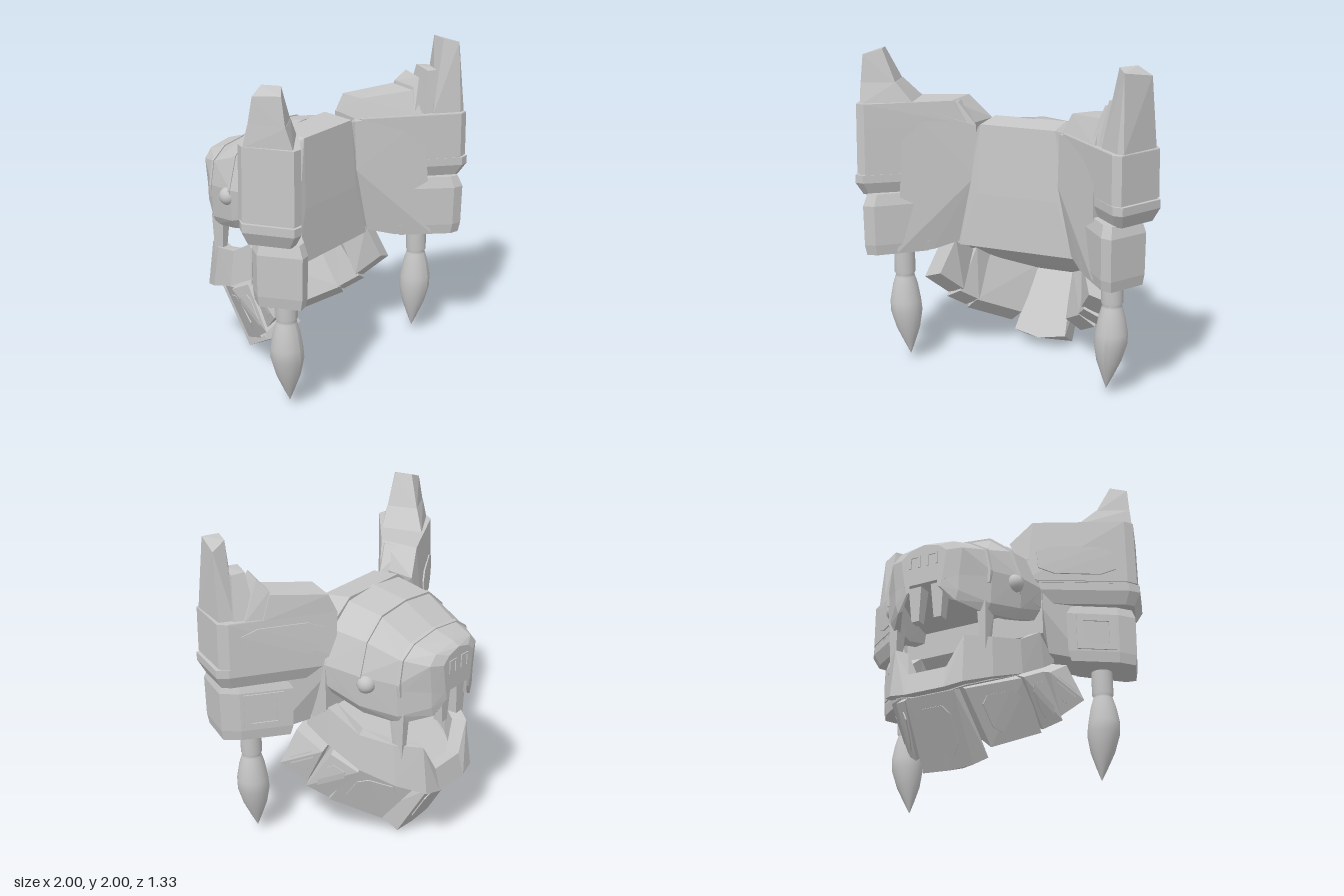
import * as THREE from 'three';
import { mergeGeometries } from 'three/addons/utils/BufferGeometryUtils.js';
import { ConvexGeometry } from 'three/addons/geometries/ConvexGeometry.js';

const grey = new THREE.MeshStandardMaterial({ color: 0xc6c6c6 });
grey.name = 'plain grey';

const V = p => new THREE.Vector3(...p);
const hull = pts => new ConvexGeometry(pts.map(V));
// Chain of faceted segments through successive sections
const loft = rings => mergeGeometries(rings.slice(1).map((r, i) => hull([...rings[i], ...r])));
// Plan outline [x, z] at one height, shrunk by k
const level = (plan, y, k = 1) => {
  const cx = plan.reduce((a, p) => a + p[0], 0) / plan.length;
  const cz = plan.reduce((a, p) => a + p[1], 0) / plan.length;
  return plan.map(([x, z]) => [cx + (x - cx) * k, y, cz + (z - cz) * k]);
};
// Thin raised panel on a four-cornered face, lifted away from a point inside
const panel = (quad, inside, k = 0.66) => {
  const q = quad.map(V);
  const c = q.reduce((a, p) => a.add(p), new THREE.Vector3()).multiplyScalar(0.25);
  const n = q[2].clone().sub(q[0]).cross(q[3].clone().sub(q[1])).normalize();
  if (n.dot(c.clone().sub(V(inside))) < 0) n.negate();
  const inner = q.map(p => p.sub(c).multiplyScalar(k).add(c));
  // cut corners
  const cut = inner.flatMap((p, i) => [p.clone().lerp(inner[(i + 1) % 4], 0.2), p.clone().lerp(inner[(i + 1) % 4], 0.8)]);
  return new ConvexGeometry([...cut, ...cut.map(p => p.clone().addScaledVector(n, 0.009))]);
};

export function createModel() {
  const root = new THREE.Group();
  const add = (name, geo, parent = root) => {
    const m = new THREE.Mesh(geo, grey);
    m.name = name;
    parent.add(m);
    return m;
  };
  const both = list => list.flatMap(([x, y, z]) => [[x, y, z], [-x, y, z]]);

  // Back of the skull, widening downward
  add('skullBack', loft([
    both([[0.25, 1.535, 0.165], [0.27, 1.1, 0.19], [0.38, 0.76, 0.2]]),
    both([[0.24, 1.56, -0.03], [0.38, 1.46, -0.03], [0.48, 1.2, -0.03], [0.48, 0.9, -0.03], [0.47, 0.77, 0.13]]),
  ]));

  // Brow and muzzle: z, top, top half width, half width, middle height, bottom
  const stations = [
    [-0.02, 1.56, 0.25, 0.48, 1.2, 1.0],
    [-0.25, 1.52, 0.24, 0.45, 1.18, 0.92],
    [-0.47, 1.39, 0.22, 0.36, 1.15, 0.88],
    [-0.62, 1.345, 0.18, 0.22, 1.13, 0.93],
    [-0.66, 1.32, 0.1, 0.13, 1.13, 1.02],
  ];
  const ring = ([z, t, tw, w, m], k = 0) => both([
    [0, t + 0.005 + k, z], [tw + k, t - 0.02 + k, z], [(w + tw) / 2 + 0.04 + k, (t + m) / 2 + 0.03 + k, z],
    [w + k, m, z], [w * 0.98, 1.07, z]]);
  add('muzzle', loft(stations.map(s => ring(s))));
  for (const i of [1, 2]) {
    const s = stations[i];
    add('browBand', hull([...ring(s, 0.006), ...ring([s[0] - 0.02, ...s.slice(1)], 0.001)]));
  }

  // Lower jaw band, dipping at the front: half width, z, top, bottom
  const half = [
    [0.48, 0.12, 0.98, 0.76], [0.48, -0.03, 0.91, 0.67], [0.45, -0.25, 0.78, 0.55],
    [0.36, -0.45, 0.735, 0.47], [0.24, -0.59, 0.715, 0.41], [0.13, -0.61, 0.53, 0.39],
  ];
  const jaw = [...half, ...half.slice().reverse().map(([x, ...r]) => [-x, ...r])];
  add('lowerJaw', loft(jaw.map(([x, z, t, b]) => [
    [x * 0.96, t, z * 0.98], [x, b, z * 1.04], [x * 0.78, b + 0.02, z * 0.85], [x * 0.78, t, z * 0.85]])));
  add('jawFloor', hull(jaw.flatMap(([x, z, , b]) => [[x * 0.9, b + 0.01, z * 0.9], [x * 0.9, b + 0.06, z * 0.9]])));

  // Beard plates: corners are top rear, top front, bottom front, bottom rear
  const plate = (outer, off) => {
    const inner = outer.map(p => p.map((v, i) => v + off[i]));
    const mid = outer[0].map((v, j) => (v + inner[2][j]) / 2);
    add('beardPlate', hull([...outer, ...inner]));
    add('beardPanel', panel(outer, mid));
  };
  const chin = [[-0.16, 0.39, -0.57], [0.16, 0.39, -0.57], [0.165, 0.01, -0.34], [-0.165, 0.01, -0.34]];
  add('chinPlate', hull([...chin, [0, 0.0, -0.34],
    ...both([[0.13, 0.46, -0.43], [0.18, 0.1, -0.18]]), [0, 0.07, -0.16]]));
  add('chinPanel', panel(chin, [0, 0.25, -0.3]));

  for (const s of [1, -1]) {
    const f = pts => pts.map(([x, y, z]) => [x * s, y, z]);
    plate(f([[0.44, 0.54, -0.22], [0.2, 0.41, -0.51], [0.25, 0.12, -0.28], [0.45, 0.26, -0.02]]), [-0.09 * s, 0.08, 0.04]);
    plate(f([[0.5, 0.62, -0.08], [0.45, 0.53, -0.25], [0.46, 0.28, -0.02], [0.54, 0.36, 0.09]]), [-0.11 * s, 0.06, 0.03]);
    plate(f([[0.55, 0.74, 0.15], [0.52, 0.63, -0.03], [0.53, 0.39, 0.09], [0.63, 0.52, 0.22]]), [-0.12 * s, 0.04, 0.015]);

    // Upper lip wall, leaving the mouth hollow behind it
    add('upperLip', loft(stations.map(([z, , , w, m, b]) => f([
      [w, m, z], [w * 0.97, b + 0.06, z], [w * 0.88, b, z], [w * 0.74, b + 0.01, z], [w * 0.68, m, z]]))));

    // Teeth, eyes and nostril frames
    add('fang', hull(f([[0.27, 0.95, -0.4], [0.27, 0.95, -0.5], [0.34, 0.95, -0.4], [0.33, 0.95, -0.5],
      [0.29, 0.58, -0.43], [0.29, 0.58, -0.48], [0.32, 0.58, -0.43], [0.32, 0.58, -0.48]])));
    add('frontTooth', hull(f([[0.03, 1.1, -0.54], [0.03, 1.1, -0.63], [0.12, 1.1, -0.54], [0.12, 1.1, -0.63],
      [0.05, 0.85, -0.56], [0.05, 0.85, -0.62], [0.1, 0.85, -0.56], [0.1, 0.85, -0.62]])));
    const eye = add('eye', new THREE.IcosahedronGeometry(0.058, 2));
    eye.position.set(0.418 * s, 1.13, -0.29);
    for (const [x, y, w, h] of [[0.03, 1.22, 0.014, 0.08], [0.09, 1.22, 0.014, 0.08], [0.06, 1.255, 0.06, 0.014]]) {
      add('nostrilFrame', new THREE.BoxGeometry(w, h, 0.009)).position.set(x * s, y, -0.662);
    }

    // Ear assembly; the right one is turned back slightly
    const ear = new THREE.Group();
    ear.name = s > 0 ? 'leftEar' : 'rightEar';
    if (s < 0) ear.rotation.y = -0.087;
    root.add(ear);
    const k = s > 0 ? 1 : 0.98;
    const e = pts => pts.map(([x, y, z]) => [x * s * k, y, z]);
    const part = (name, pts) => add(name, hull(e(pts)), ear);
    const top = s > 0 ? 1.535 : 1.68;

    // Web joining ear and head
    part('earWeb', [[0.28, 1.52, 0.17], [0.38, top - 0.01, 0.22], [0.43, top - 0.01, 0.08], [0.42, 1.4, -0.05],
      [0.62, top - 0.01, 0.47], [0.7, top - 0.01, 0.2], [0.28, 1.2, 0.19], [0.38, 0.78, 0.21], [0.5, 0.74, 0.35],
      [0.65, 0.74, 0.53], [0.66, 0.76, 0.22], [0.48, 0.8, 0.1], [0.47, 1.1, 0]]);

    // Upper ear block, rim and cheek block
    const outline = (front, back) => [front, [0.8, 0.645], [0.86, 0.645], [0.985, 0.36], [0.95, 0.3], back];
    const base = outline([0.36, 0.245], [0.42, -0.07]);
    const shoulder = outline([0.31, 0.2], s > 0 ? [0.39, -0.07] : [0.3, -0.08]);
    const crown = s > 0 ? shoulder : outline([0.39, 0.26], [0.43, -0.01]);
    part('earBlock', [...level(base, 1.25, 0.99), ...level(shoulder, 1.53, 0.98), ...level(crown, top, 0.97)]);
    part('earSeam', level(base, 1.24, 0.95).concat(level(base, 1.26, 0.95)));
    const rim = [[0.5, 0.36], [0.81, 0.65], [0.87, 0.65], [0.995, 0.37], [0.95, 0.31], [0.48, -0.01]];
    part('earRim', [...level(rim, 1.24), ...level(rim, 1.19), ...level(rim, 1.11, 0.8)]);
    const cheek = [[0.5, 0.37], [0.74, 0.64], [0.81, 0.66], [0.93, 0.42], [0.86, 0.32], [0.6, 0.12]];
    part('cheekBlock', [...level(cheek, 1.12, 0.86), ...level(cheek, 1.05), ...level(cheek, 0.8, 0.98), ...level(cheek, 0.735, 0.92)]);

    // Raised panel and square frame on the rear faces
    add('earPanel', panel(e([[0.94, 1.27, 0.295], [0.94, 1.51, 0.295], [0.42, 1.51, -0.055], [0.44, 1.27, -0.06]]),
      [0.65 * s, 1.4, 0.35], 0.8), ear);
    const strip = (a, b, y0, y1) => {
      const at = (t, o) => [0.61 + 0.26 * t + o * 0.61, 0.125 + 0.2 * t - o * 0.79];
      part('cheekFrame', [a, b].flatMap(t => [0, 0.009].flatMap(o => [y0, y1].map(y => [at(t, o)[0], y, at(t, o)[1]]))));
    };
    strip(0.15, 0.9, 1.0, 1.04);
    strip(0.15, 0.9, 0.81, 0.85);
    strip(0.15, 0.28, 0.85, 1.0);
    strip(0.77, 0.9, 0.85, 1.0);

    // Ear tips: stepped on one side, a single spike on the other
    if (s > 0) {
      part('earStepLow', [[0.3, 1.53, 0.17], [0.4, 1.53, -0.06], [0.36, 1.65, 0.16], [0.44, 1.64, -0.03],
        [0.63, 1.68, 0.38], [0.73, 1.68, 0.17], [0.62, 1.53, 0.46], [0.78, 1.53, 0.18]]);
      part('earStepMiddle', [[0.58, 1.53, 0.42], [0.73, 1.53, 0.16], [0.63, 1.7, 0.38], [0.72, 1.7, 0.18],
        [0.66, 1.76, 0.4], [0.76, 1.77, 0.24], [0.75, 1.53, 0.5], [0.86, 1.53, 0.25]]);
      part('earStepHigh', [[0.64, 1.53, 0.46], [0.79, 1.53, 0.22], [0.7, 1.8, 0.44], [0.79, 1.81, 0.3],
        [0.8, 1.53, 0.55], [0.9, 1.53, 0.3], [0.78, 1.8, 0.48], [0.86, 1.8, 0.34]]);
      part('earSpike', [[0.68, 1.53, 0.5], [0.82, 1.53, 0.62], [0.86, 1.53, 0.62], [0.96, 1.53, 0.36], [0.88, 1.53, 0.31],
        [0.78, 2.0, 0.5], [0.84, 1.98, 0.58], [0.94, 1.95, 0.4], [0.85, 2.0, 0.39]]);
    } else {
      part('earSpikeBase', [[0.58, 1.67, 0.42], [0.84, 1.67, 0.62], [0.97, 1.67, 0.36], [0.68, 1.67, 0.16],
        [0.68, 1.8, 0.46], [0.76, 1.8, 0.27], [0.86, 1.8, 0.58], [0.95, 1.8, 0.38]]);
      part('earSpike', [[0.68, 1.79, 0.46], [0.76, 1.79, 0.27], [0.86, 1.79, 0.58], [0.95, 1.79, 0.38],
        [0.77, 2.0, 0.47], [0.82, 2.0, 0.37], [0.86, 1.97, 0.55], [0.93, 1.96, 0.4]]);
    }

    // Hanging tassel, its tip leaning inward
    const g = new THREE.LatheGeometry([[0, 0.04], [0.035, 0.12], [0.075, 0.22], [0.1, 0.33], [0.098, 0.4], [0.08, 0.5],
      [0.062, 0.56], [0.058, 0.575], [0.066, 0.59], [0.066, 0.76]].map(p => new THREE.Vector2(...p)), 20);
    const p = g.attributes.position;
    for (let i = 0; i < p.count; i++) p.setX(i, p.getX(i) - s * 0.03 * Math.max(0, (0.4 - p.getY(i)) / 0.36));
    g.computeVertexNormals();
    add('tassel', g).position.set(s > 0 ? 0.715 : -0.695, 0, s > 0 ? 0.38 : 0.36);
  }
  return root;
}
